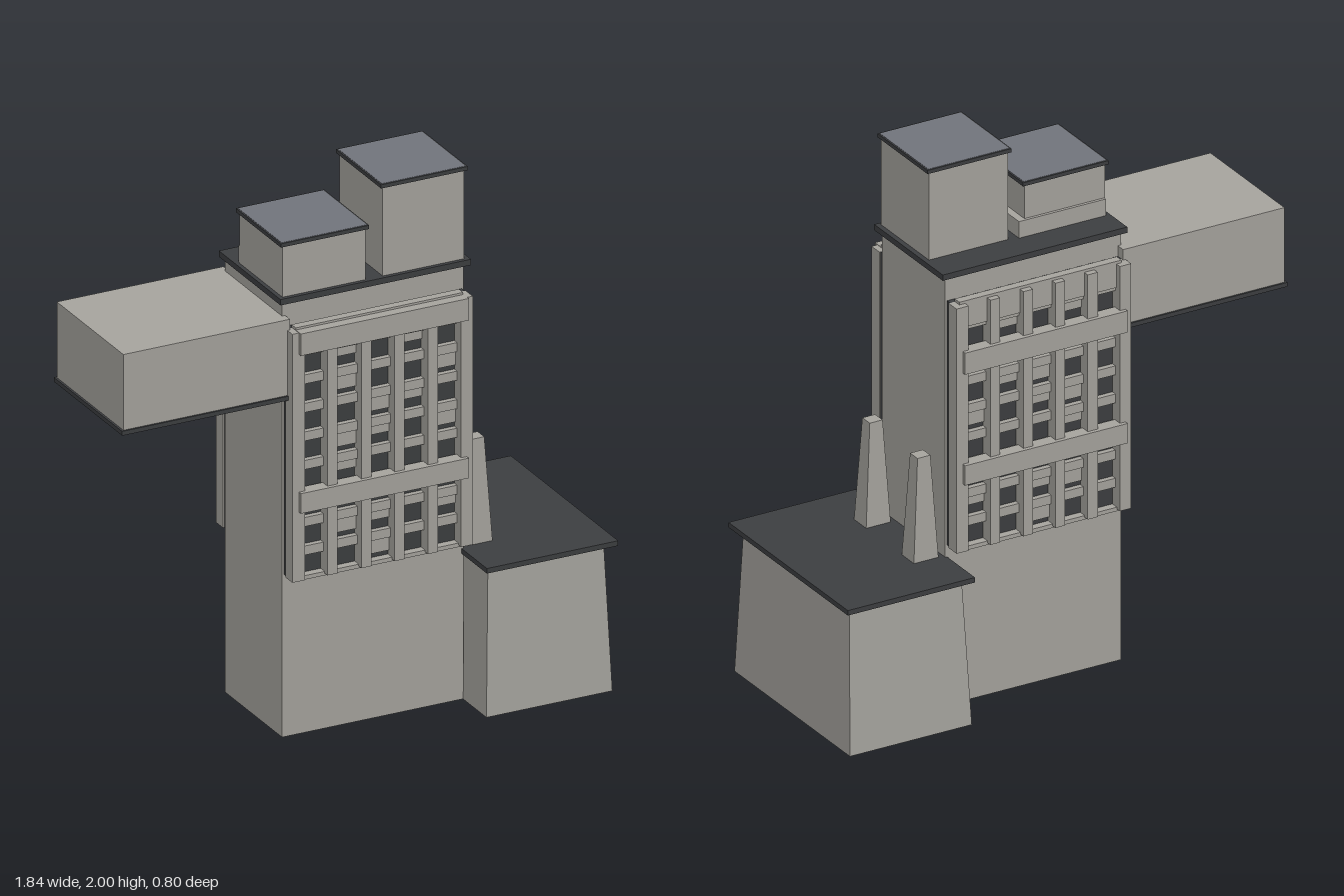
import * as THREE from 'three';

const stone = new THREE.MeshStandardMaterial({ color: 0xa5a39d, flatShading: true });
const dark = new THREE.MeshStandardMaterial({ color: 0x3c3e40, flatShading: true });
const slate = new THREE.MeshStandardMaterial({ color: 0x70737b, flatShading: true });

// Box given by its limits along each axis
function block(parent, name, [x0, x1], [y0, y1], [z0, z1], material = stone) {
  const mesh = new THREE.Mesh(new THREE.BoxGeometry(x1 - x0, y1 - y0, z1 - z0), material);
  mesh.position.set((x0 + x1) / 2, (y0 + y1) / 2, (z0 + z1) / 2);
  mesh.name = name;
  parent.add(mesh);
  return mesh;
}

// Box whose upper corners are pulled in to a smaller rectangle
function taperedBlock(parent, name, x, y, z, topX, topZ) {
  const mesh = block(parent, name, x, y, z);
  const p = mesh.geometry.attributes.position;
  for (let i = 0; i < p.count; i++) {
    if (p.getY(i) < 0) continue;
    p.setX(i, topX[p.getX(i) > 0 ? 1 : 0] - mesh.position.x);
    p.setZ(i, topZ[p.getZ(i) > 0 ? 1 : 0] - mesh.position.z);
  }
  mesh.geometry.computeVertexNormals();
}

// Window wall facing +z; upperBelt is the height of the upper belt's underside
function facade(name, upperBelt, blinds) {
  const g = new THREE.Group();
  g.name = name;
  block(g, 'windowGlass', [-0.275, 0.41], [0.61, 1.54], [0.2, 0.235], dark);

  // Piers, with wider ones at both ends
  const piers = [[-0.28, -0.232], [-0.145, -0.107], [-0.014, 0.024],
    [0.114, 0.152], [0.242, 0.282], [0.37, 0.415]];
  piers.forEach((x) => block(g, 'pier', x, [0.608, 1.54], [0.232, 0.285]));

  // Spandrels under each row of windows, and blinds in some windows
  for (let row = 0; row < 9; row++) {
    const y = 1.47 - row * 0.107;
    const low = Math.max(y - 0.034, 0.6);
    block(g, 'spandrel', [-0.255, 0.39], [low, y], [0.23, 0.255]);
    for (let col = 0; col < 5 && row < 8; col++) {
      const drop = blinds[row][col] * 0.018;
      if (drop) {
        const x = [piers[col][1], piers[col + 1][0]];
        block(g, 'blind', x, [y - 0.034 - drop, y - 0.034], [0.23, 0.243]);
      }
    }
  }
  block(g, 'head', [-0.255, 0.39], [1.45, 1.55], [0.23, 0.262]);
  block(g, 'sill', [-0.255, 0.39], [0.6, 0.615], [0.2, 0.265]);

  // Belts across the piers
  block(g, 'upperBelt', [-0.255, 0.392], [upperBelt, upperBelt + 0.082], [0.25, 0.3]);
  block(g, 'lowerBelt', [-0.255, 0.392], [0.868, 0.943], [0.25, 0.3]);
  return g;
}

// Rooftop house with a dark rim and slate top
function roofHouse(parent, name, x, top, z) {
  const grow = ([a, b], d) => [a - d, b + d];
  block(parent, name, x, [1.64, top - 0.015], z);
  block(parent, name + 'Rim', grow(x, 0.01), [top - 0.015, top - 0.001], grow(z, 0.008), dark);
  block(parent, name + 'Top', grow(x, 0.004), [top - 0.006, top], grow(z, 0.002), slate);
}

export function createModel() {
  const model = new THREE.Group();
  model.name = 'towerBlock';

  // Tower shaft and roof
  block(model, 'tower', [-0.282, 0.417], [0, 1.635], [-0.212, 0.212]);
  block(model, 'towerRoof', [-0.297, 0.437], [1.63, 1.652], [-0.23, 0.23], dark);

  // Rooftop houses and the low ledge beside the shorter one
  roofHouse(model, 'shortRoofHouse', [-0.282, 0.038], 1.858, [-0.105, 0.215]);
  roofHouse(model, 'tallRoofHouse', [0.104, 0.418], 2, [-0.105, 0.215]);
  block(model, 'roofLedge', [-0.28, 0.066], [1.64, 1.715], [-0.116, 0.11]);

  // Window walls on the front and back (0 = no blind, 4 = closed)
  const blinds = [
    [0, 2, 0, 2, 0], [0, 3, 0, 0, 3], [0, 0, 3, 2, 0], [0, 3, 2, 0, 3],
    [0, 2, 0, 0, 0], [0, 0, 3, 0, 0], [0, 3, 2, 0, 2], [0, 0, 3, 0, 0],
  ];
  model.add(facade('frontFacade', 1.46, blinds));
  const back = facade('backFacade', 1.29, blinds.map((row) => [...row].reverse()));
  back.rotation.y = Math.PI;
  back.position.x = 0.135;
  model.add(back);

  // Raised side wing on a dark floor slab
  block(model, 'wing', [-0.912, -0.27], [1.29, 1.58], [-0.248, 0.248]);
  block(model, 'wingFloor', [-0.92, -0.275], [1.28, 1.296], [-0.255, 0.255], dark);

  // Low annex with sloping walls and a flat roof
  taperedBlock(model, 'annex', [0.415, 0.9], [0, 0.55], [-0.387, 0.387], [0.437, 0.883], [-0.355, 0.355]);
  block(model, 'annexRoof', [0.41, 0.916], [0.546, 0.565], [-0.4, 0.4], dark);

  // Pair of tapered chimneys
  for (const z of [-0.16, 0.16]) {
    taperedBlock(model, 'chimney', [0.437, 0.535], [0.56, 0.953], [z - 0.041, z + 0.041],
      [0.46, 0.511], [z - 0.025, z + 0.025]);
  }
  return model;
}
